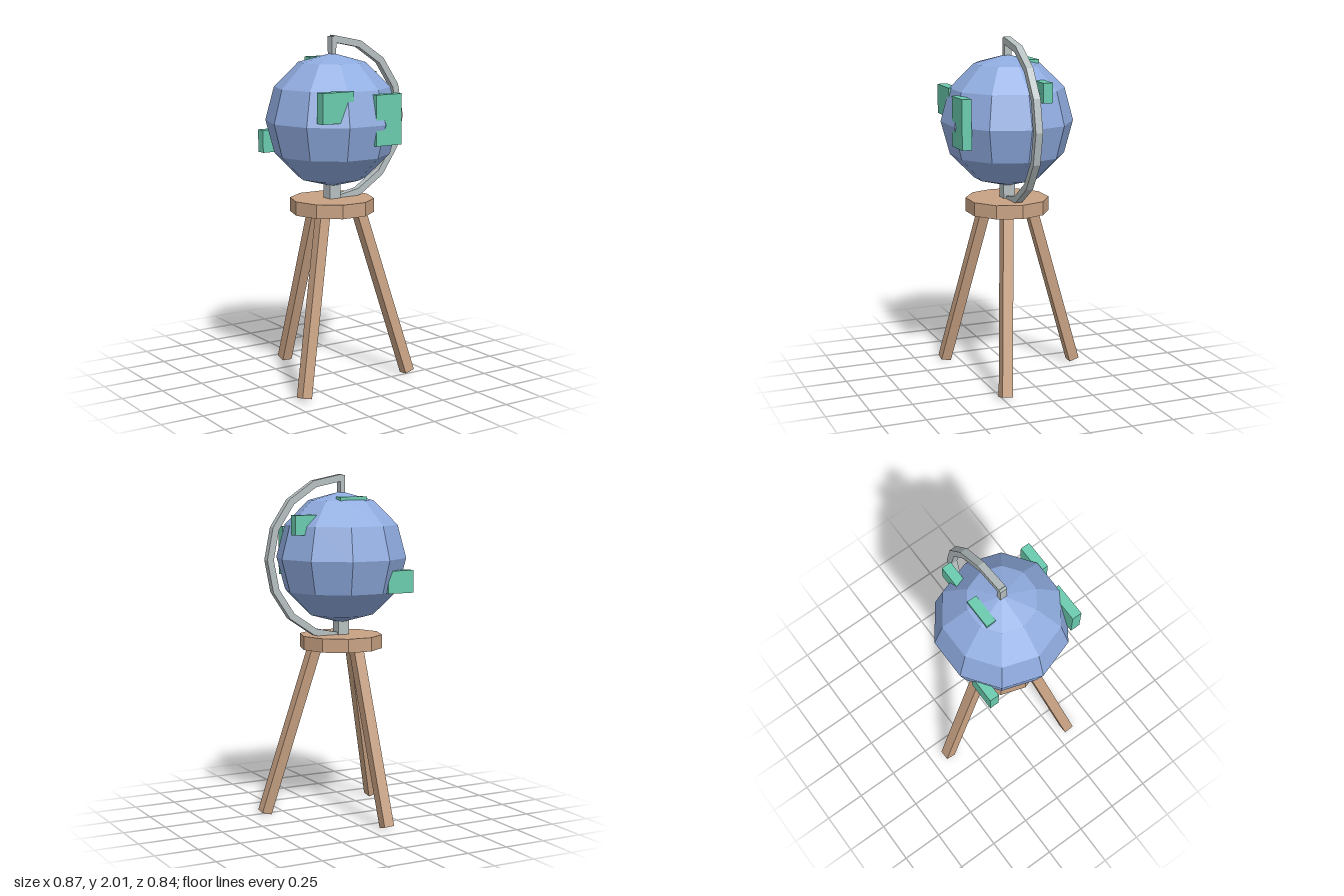
import * as THREE from 'three';

const CX = -0.045, CY = 1.525, CZ = 0.06; // globe centre; stand shares its axis

function material(name, color) {
  const m = new THREE.MeshStandardMaterial({ color, flatShading: true });
  m.name = name;
  return m;
}

export function createModel() {
  const model = new THREE.Group();
  model.name = 'globeOnStand';
  const ocean = material('ocean blue', 0x8fabdf);
  const land = material('land green', 0x6acbae);
  const wood = material('wood', 0xc8a283);
  const metal = material('metal grey', 0xb6bfc0);

  function add(name, geometry, mat, x, y, z) {
    const mesh = new THREE.Mesh(geometry, mat);
    mesh.name = name;
    mesh.position.set(x, y, z);
    model.add(mesh);
    return mesh;
  }
  // Box given by its minimum and maximum corners
  function block(name, mat, [x0, y0, z0], [x1, y1, z1]) {
    return add(name, new THREE.BoxGeometry(x1 - x0, y1 - y0, z1 - z0), mat,
      (x0 + x1) / 2, (y0 + y1) / 2, (z0 + z1) / 2);
  }

  // Globe
  add('globe', new THREE.SphereGeometry(0.382, 10, 6), ocean, CX, CY, CZ);

  // Land masses: blocks partly sunk into the globe
  block('frontRightLand', land, [-0.315, 1.55, 0.33], [-0.115, 1.72, 0.388]);
  block('frontLeftLand', land, [0.017, 1.41, 0.36], [0.186, 1.695, 0.416]);
  block('sideLand', land, [0.17, 1.667, -0.072], [0.315, 1.78, -0.015]);
  block('topLand', land, [-0.13, 1.82, -0.1], [0.043, 1.88, -0.042]);
  block('backLand', land, [-0.357, 1.33, -0.243], [-0.19, 1.46, -0.186]);

  // Half-ring arm of eight straight segments
  const arc = new THREE.Shape();
  const steps = 8;
  for (let i = 0; i <= 2 * steps + 1; i++) {
    const outer = i <= steps;
    const a = Math.PI * ((outer ? i : 2 * steps + 1 - i) / steps - 0.5);
    const r = outer ? 0.482 : 0.442;
    arc[i ? 'lineTo' : 'moveTo'](r * Math.cos(a), r * Math.sin(a));
  }
  add('arm', new THREE.ExtrudeGeometry(arc, { depth: 0.042, bevelEnabled: false }),
    metal, CX, CY, CZ - 0.021);

  // Pins holding the globe
  block('topPin', metal, [-0.06, 1.88, 0.039], [-0.03, 2.0, 0.081]);
  block('bottomPin', metal, [-0.08, 1.06, 0.025], [-0.01, 1.17, 0.095]);

  // Ten-sided stand top
  const seat = new THREE.CylinderGeometry(0.243, 0.243, 0.08, 10);
  seat.rotateY(Math.PI / 2);
  add('standTop', seat, wood, CX, 1.035, CZ);

  // Three splayed legs
  const up = new THREE.Vector3(0, 1, 0);
  for (let i = 0; i < 3; i++) {
    const a = THREE.MathUtils.degToRad(22.8 + 120 * i);
    const at = (r, y) => new THREE.Vector3(CX + r * Math.cos(a), y, CZ + r * Math.sin(a));
    const foot = at(0.454, 0.01), head = at(0.148, 1.02);
    const dir = head.clone().sub(foot);
    const mid = foot.clone().add(head).multiplyScalar(0.5);
    const leg = add(['leftLeg', 'rightLeg', 'backLeg'][i],
      new THREE.BoxGeometry(0.062, dir.length(), 0.062), wood, mid.x, mid.y, mid.z);
    leg.quaternion.setFromUnitVectors(up, dir.normalize());
  }
  return model;
}
